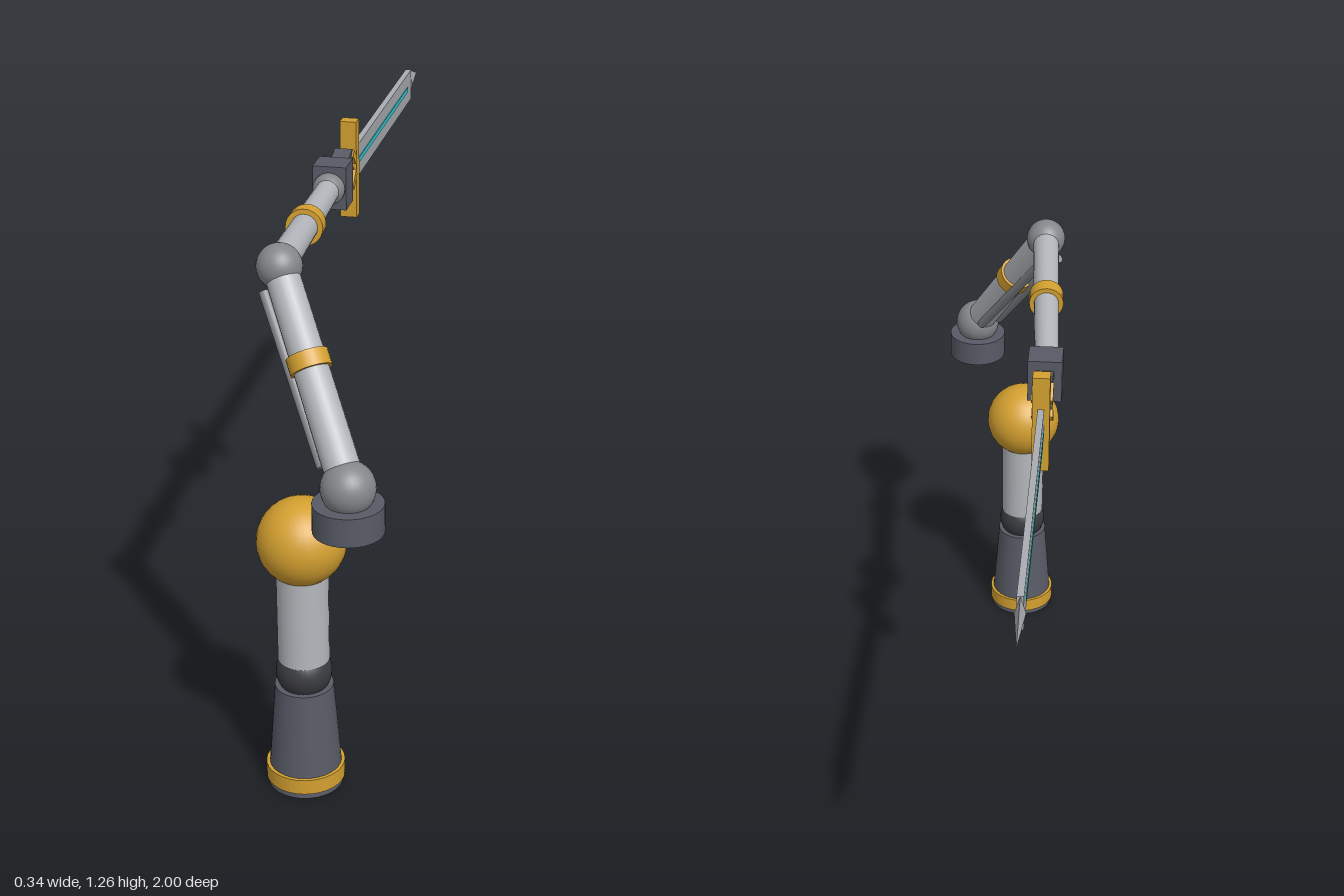
import * as THREE from 'three';

const mat = (name, color) => {
  const m = new THREE.MeshStandardMaterial({ color });
  m.name = name;
  return m;
};

export function createModel() {
  const root = new THREE.Group();
  root.name = 'robotArmWithSword';
  const gold = mat('gold', 0xd4a030);
  const light = mat('lightSteel', 0xb4b7bc);
  const joint = mat('jointGrey', 0x85878b);
  const slate = mat('slate', 0x585b66);
  const dark = mat('darkRubber', 0x3a3b40);
  const blade = mat('bladeSteel', 0xa9acb0);
  const cyan = mat('cyan', 0x35c5d2);
  const brown = mat('gripBrown', 0x6e4a32);

  const V = (x, y, z) => new THREE.Vector3(x, y, z);
  const add = (parent, name, geometry, material, p = V(0, 0, 0)) => {
    const m = new THREE.Mesh(geometry, material);
    m.name = name;
    m.position.copy(p);
    parent.add(m);
    return m;
  };
  const part = (name) => {
    const g = new THREE.Group();
    g.name = name;
    root.add(g);
    return g;
  };
  const ball = (r) => new THREE.SphereGeometry(r, 32, 20);
  const box = (x, y, z) => new THREE.BoxGeometry(x, y, z);
  // Upright cylinder between two heights
  const drum = (parent, name, y0, y1, r0, r1, material, x, z) =>
    add(parent, name, new THREE.CylinderGeometry(r1, r0, y1 - y0, 32), material, V(x, (y0 + y1) / 2, z));
  // Lay a y-aligned mesh along the line a-b
  const along = (mesh, a, b) => {
    mesh.position.copy(a).add(b).multiplyScalar(0.5);
    mesh.quaternion.setFromUnitVectors(V(0, 1, 0), b.clone().sub(a).normalize());
    return mesh;
  };
  const rod = (parent, name, a, b, r0, r1, material) =>
    along(add(parent, name, new THREE.CylinderGeometry(r1, r0, a.distanceTo(b), 24), material), a, b);
  const bar = (parent, name, a, b, w, t, material) =>
    along(add(parent, name, box(w, a.distanceTo(b), t), material), a, b);
  const band = (parent, name, a, b, t, r, len) => {
    const d = b.clone().sub(a).normalize().multiplyScalar(len / 2);
    const c = a.clone().lerp(b, t);
    rod(parent, name, c.clone().sub(d), c.clone().add(d), r, r, gold);
  };

  // Free-standing leg below
  const leg = part('leg');
  const lx = -0.041, lz = 0.771;
  drum(leg, 'legFoot', 0, 0.25, 0.084, 0.065, slate, lx, lz);
  drum(leg, 'legFootRing', 0.014, 0.05, 0.088, 0.088, gold, lx, lz);
  add(leg, 'legKnee', ball(0.062), dark, V(lx, 0.283, lz));
  drum(leg, 'legShaft', 0.314, 0.56, 0.057, 0.057, light, lx, lz);
  add(leg, 'legBall', ball(0.098), gold, V(lx, 0.604, lz));

  // Shoulder, elbow and wrist points
  const shoulder = V(0.097, 0.82, 0.925);
  const elbow = V(-0.099, 1.194, 0.684);
  const wrist = V(-0.133, 1.158, 0.087);

  // Upper arm
  const upper = part('upperArm');
  drum(upper, 'shoulderBase', 0.723, 0.787, 0.075, 0.075, slate, 0.097, 0.925);
  add(upper, 'shoulderBall', ball(0.058), joint, shoulder);
  rod(upper, 'upperArmTube', shoulder, elbow, 0.039, 0.037, light);
  band(upper, 'upperArmBand', shoulder, elbow, 0.56, 0.045, 0.036);

  // Pair of pistons under the upper arm
  const d = elbow.clone().sub(shoulder).normalize();
  const side = d.clone().cross(V(0, 1, 0)).normalize();
  const under = d.clone().cross(side).normalize();
  if (under.y > 0) under.negate();
  for (const s of [-1, 1]) {
    const at = (t, off) => shoulder.clone().lerp(elbow, t)
      .addScaledVector(under, off).addScaledVector(side, s * 0.028);
    rod(upper, 'upperArmPiston', at(0.12, 0.03), at(0.93, 0.05), 0.012, 0.012, joint);
  }

  // Forearm
  const fore = part('forearm');
  add(fore, 'elbowBall', ball(0.049), joint, elbow);
  rod(fore, 'forearmTube', elbow, wrist, 0.033, 0.028, light);
  band(fore, 'forearmBand', elbow, wrist, 0.505, 0.042, 0.042);
  add(fore, 'wristBall', ball(0.038), joint, wrist);

  // Gripping hand
  const hand = part('hand');
  const hx = -0.133;
  add(hand, 'palm', box(0.08, 0.104, 0.074), slate, V(hx, 1.158, 0.042));
  for (const s of [-1, 1]) {
    const y = (o) => 1.154 + s * o;
    bar(hand, 'finger', V(hx, y(0.022), 0.01), V(hx, y(0.043), -0.078), 0.042, 0.018, slate);
    bar(hand, 'fingerTip', V(hx, y(0.043), -0.072), V(hx, y(0.014), -0.106), 0.05, 0.018, gold);
  }

  // Sword
  const sword = part('sword');
  const sy = 1.137;
  rod(sword, 'grip', V(hx, sy, -0.01), V(hx, sy, -0.13), 0.015, 0.015, brown);
  add(sword, 'pommel', ball(0.02), gold, V(hx, sy, -0.018));
  add(sword, 'guard', box(0.04, 0.241, 0.033), gold, V(hx, sy, -0.14));
  add(sword, 'blade', box(0.015, 0.081, 0.73), blade, V(hx, sy, -0.517));
  add(sword, 'bladeGlowLine', box(0.019, 0.013, 0.64), cyan, V(hx, sy, -0.51));
  const tip = new THREE.ConeGeometry(1, 0.119, 4).toNonIndexed();
  tip.rotateX(-Math.PI / 2);
  tip.scale(0.012, 0.0405, 1);
  tip.computeVertexNormals();
  add(sword, 'bladeTip', tip, blade, V(hx, sy, -0.9405));

  return root;
}
